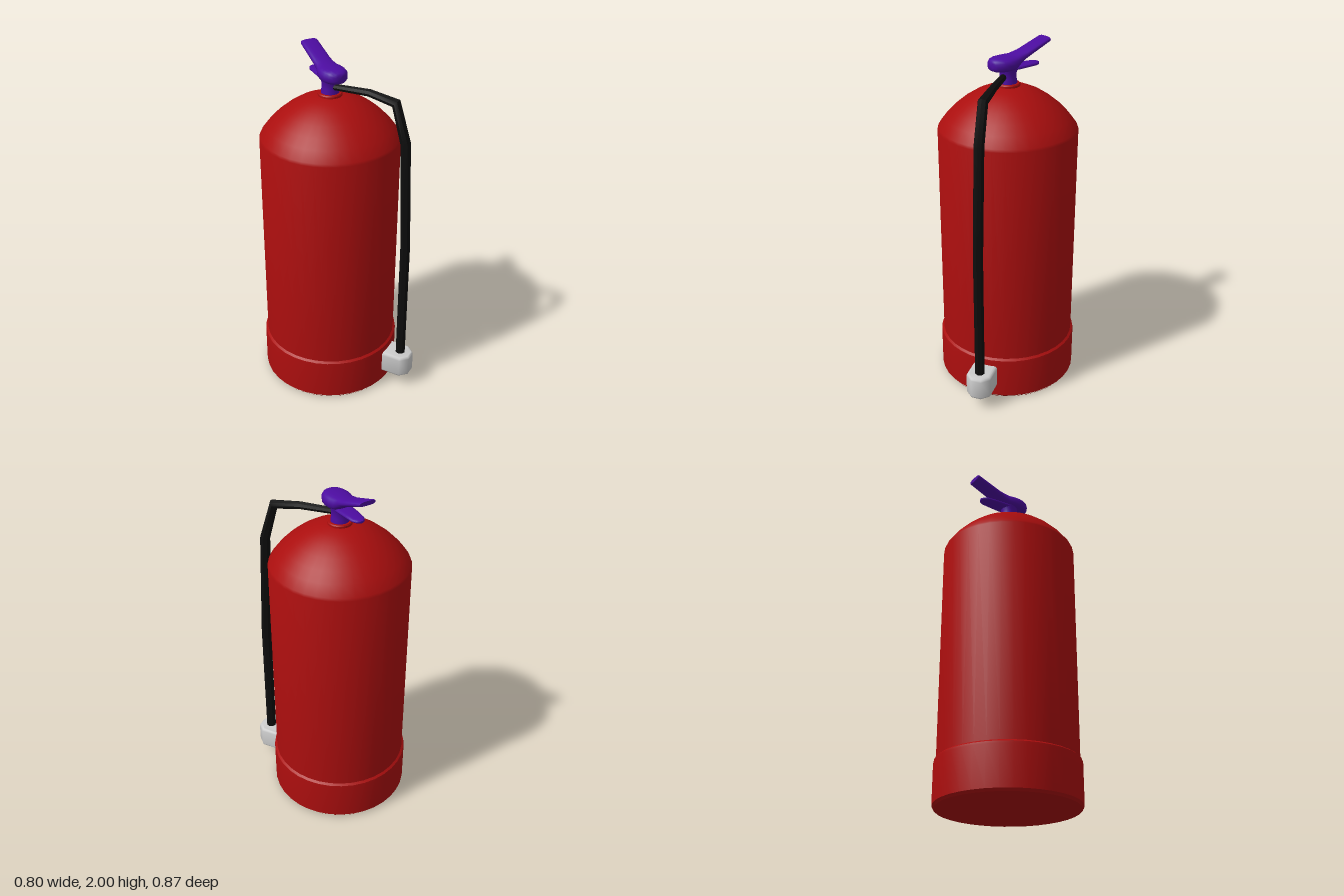
import * as THREE from 'three';
import { toCreasedNormals } from 'three/addons/utils/BufferGeometryUtils.js';

const red = new THREE.MeshStandardMaterial({ color: 0xaa0e0e });
const purple = new THREE.MeshStandardMaterial({ color: 0x4c0ca0 });
const black = new THREE.MeshStandardMaterial({ color: 0x0d0d0d });
const grey = new THREE.MeshStandardMaterial({ color: 0xcccccc });

const AXIS_Z = -0.035; // the tank's axis sits slightly behind the middle

function add(parent, name, geometry, material) {
  const mesh = new THREE.Mesh(geometry, material);
  mesh.name = name;
  parent.add(mesh);
  return mesh;
}

// Turned part from [radius, y] pairs, with sharp edges kept
function turned(profile, segments) {
  const geo = new THREE.LatheGeometry(profile.map(([r, y]) => new THREE.Vector2(r, y)), segments);
  return toCreasedNormals(geo.translate(0, 0, AXIS_Z), 0.5);
}

// Rounded bar through stations [z, centre y, half width, half height], front to back
function loft(stations, sides = 20, power = 0.75) {
  const pos = [], index = [];
  const bend = (v) => Math.sign(v) * Math.abs(v) ** power;
  for (const [z, y, w, h] of stations) {
    for (let j = 0; j < sides; j++) {
      const a = (j / sides) * Math.PI * 2;
      pos.push(w * bend(Math.cos(a)), y + h * bend(Math.sin(a)), z);
    }
  }
  const last = stations.length - 1;
  const first = pos.length / 3;
  for (const [z, y] of [stations[0], stations[last]]) pos.push(0, y, z);
  for (let j = 0; j < sides; j++) {
    const k = (j + 1) % sides;
    for (let i = 0; i < last; i++) {
      const a = i * sides + j, b = i * sides + k;
      index.push(a, a + sides, b, b, a + sides, b + sides);
    }
    index.push(first, j, k, first + 1, last * sides + k, last * sides + j);
  }
  const geo = new THREE.BufferGeometry();
  geo.setAttribute('position', new THREE.Float32BufferAttribute(pos, 3));
  geo.setIndex(index);
  return toCreasedNormals(geo, 0.9);
}

// Angular hose through points [x, y, z, radius]
function hoseGeometry(points, sides) {
  const curve = new THREE.CatmullRomCurve3(points.map(([x, y, z]) => new THREE.Vector3(x, y, z)));
  curve.getPointAt = curve.getPoint;
  curve.getTangentAt = curve.getTangent;
  const geo = new THREE.TubeGeometry(curve, points.length - 1, 1, sides, false);
  const p = geo.attributes.position;
  for (let v = 0; v < p.count; v++) {
    const [x, y, z, r] = points[Math.floor(v / (sides + 1))];
    p.setXYZ(v, x + (p.getX(v) - x) * r, y + (p.getY(v) - y) * r, z + (p.getZ(v) - z) * r);
  }
  return toCreasedNormals(geo, 0.6);
}

export function createModel() {
  const model = new THREE.Group();
  model.name = 'fireExtinguisher';

  // Tank with skirt, domed shoulder and collar
  add(model, 'tank', turned([
    [0, 0.005], [0.39, 0.005], [0.4, 0.015], [0.4, 0.24], [0.398, 0.252], [0.386, 0.262],
    [0.386, 1.53], [0.38, 1.545], [0.34, 1.598], [0.295, 1.645], [0.24, 1.69], [0.18, 1.728],
    [0.12, 1.754], [0.065, 1.768], [0, 1.77],
  ], 36), red);
  add(model, 'skirt', turned([[0, 0], [0.39, 0], [0.395, 0.006]], 36), red);
  add(model, 'collar', turned([
    [0.066, 1.755], [0.066, 1.778], [0.062, 1.784], [0, 1.784],
  ], 24), red);

  // Valve head flowing into the raised lever, with the carrying grip beneath
  const valve = new THREE.Group();
  valve.name = 'valve';
  model.add(valve);
  add(valve, 'neck', turned([
    [0.05, 1.77], [0.05, 1.79], [0.046, 1.81], [0.046, 1.84], [0.055, 1.87], [0, 1.87],
  ], 20), purple);
  add(valve, 'lever', loft([
    [0.08, 1.893, 0.02, 0.02], [0.073, 1.893, 0.038, 0.029], [0.055, 1.893, 0.056, 0.036],
    [0.03, 1.893, 0.069, 0.039], [0, 1.893, 0.075, 0.039], [-0.035, 1.894, 0.072, 0.039],
    [-0.065, 1.898, 0.062, 0.036], [-0.09, 1.91, 0.054, 0.03], [-0.13, 1.926, 0.051, 0.021],
    [-0.28, 1.984, 0.05, 0.014], [-0.287, 1.986, 0.047, 0.012],
  ]), purple);
  add(valve, 'grip', loft([
    [0.01, 1.863, 0.045, 0.011], [-0.08, 1.863, 0.047, 0.011], [-0.15, 1.863, 0.043, 0.011],
    [-0.205, 1.862, 0.037, 0.01], [-0.228, 1.862, 0.025, 0.009], [-0.238, 1.862, 0.01, 0.006],
  ]), purple);

  // Hose from the valve over the shoulder and down the side
  add(model, 'hose', hoseGeometry([
    [0, 1.822, -0.01, 0.018], [0.13, 1.822, 0.155, 0.021], [0.215, 1.795, 0.285, 0.028],
    [0.25, 1.58, 0.338, 0.029], [0.263, 0.95, 0.363, 0.029], [0.266, 0.13, 0.363, 0.029],
    [0.266, 0.127, 0.363, 0.0005],
  ], 8), black);

  // Hose clip: an eight-sided loop on a short arm, pointing away from the axis
  const ring = (radius, n) => Array.from({ length: n }, (_, i) => {
    const a = ((i + 0.5) / n) * Math.PI * 2;
    return new THREE.Vector2(Math.cos(a) * radius, Math.sin(a) * radius);
  });
  const outline = ring(0.078, 8).filter((v) => v.y < 0);
  outline.push(new THREE.Vector2(0.072, 0.1), new THREE.Vector2(-0.072, 0.1));
  const shape = new THREE.Shape(outline);
  shape.holes.push(new THREE.Path(ring(0.04, 8)));
  const bevel = 0.018;
  const clipGeo = new THREE.ExtrudeGeometry(shape, {
    depth: 0.14 - 2 * bevel, bevelThickness: bevel, bevelSize: bevel,
    bevelOffset: -bevel, bevelSegments: 3,
  });
  clipGeo.rotateX(-Math.PI / 2).translate(0, 0.075 + bevel, 0.476);
  const clip = add(model, 'hoseClip', toCreasedNormals(clipGeo, 0.9), grey);
  clip.position.z = AXIS_Z;
  clip.rotation.y = 0.59;

  return model;
}
